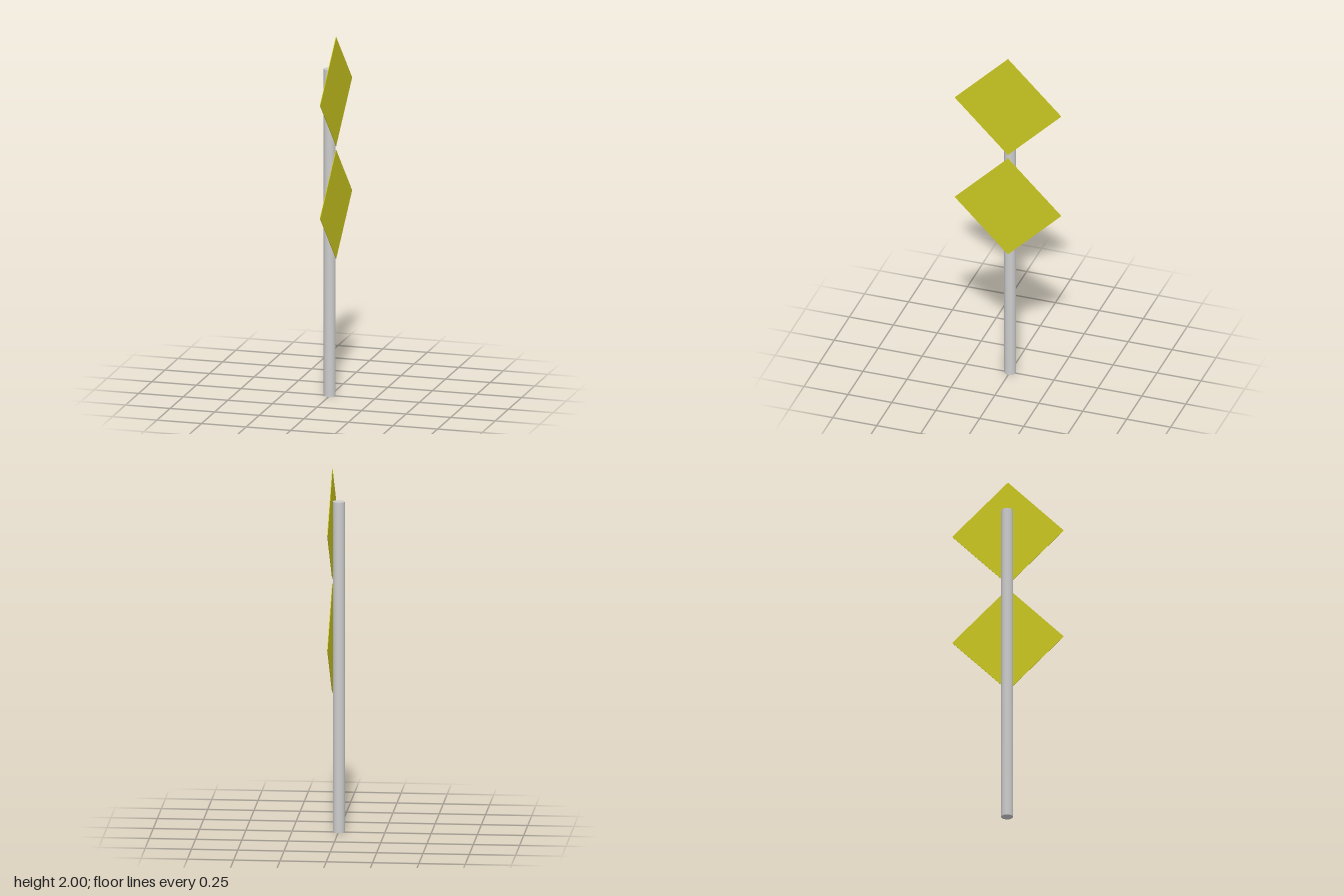
import * as THREE from 'three';

export function createModel() {
  const group = new THREE.Group();
  const grey = new THREE.MeshStandardMaterial({ color: 0xcccccc });
  const yellow = new THREE.MeshStandardMaterial({ color: 0xc8c520 });

  // Round post standing on the ground
  const postHeight = 1.82;
  const post = new THREE.Mesh(new THREE.CylinderGeometry(0.032, 0.032, postHeight, 32), grey);
  post.name = 'post';
  post.position.set(-0.0025, postHeight / 2, 0);
  group.add(post);

  // Two thin square plates standing on a corner, on the left side of the post
  const side = 0.303 * Math.SQRT2;
  const plateGeometry = new THREE.BoxGeometry(0.003, side, side).rotateX(Math.PI / 4);
  [['upperPlate', 1.697], ['lowerPlate', 1.068]].forEach(([name, y]) => {
    const plate = new THREE.Mesh(plateGeometry, yellow);
    plate.name = name;
    plate.position.set(0.033, y, 0);
    group.add(plate);
  });

  return group;
}
